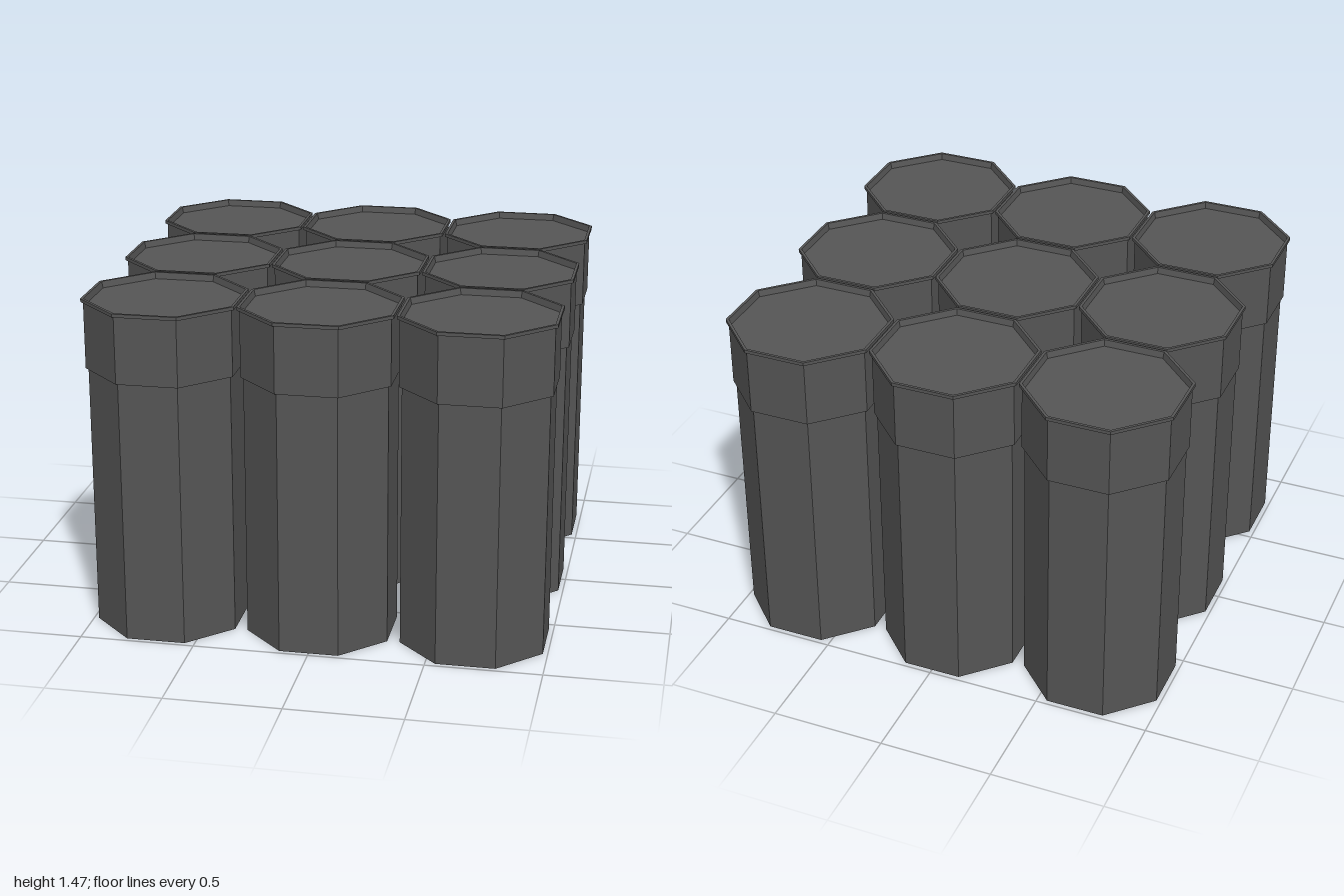
import * as THREE from 'three';

const SPACING = 0.671;
const TO_RADIUS = 1 / Math.cos(Math.PI / 8); // flat-to-centre distance -> corner radius

// Eight-sided shell from a profile of [flat distance, height], flats facing the axes
function octagonShell(name, profile, material) {
  const points = profile.map(([r, y]) => new THREE.Vector2(r * TO_RADIUS, y));
  const mesh = new THREE.Mesh(new THREE.LatheGeometry(points, 8, Math.PI / 8), material);
  mesh.name = name;
  return mesh;
}

export function createModel() {
  const model = new THREE.Group();
  model.name = 'tubeCluster';
  const material = new THREE.MeshStandardMaterial({
    color: 0x555555, flatShading: true, side: THREE.DoubleSide,
  });

  for (let row = -1; row <= 1; row++) {
    for (let col = -1; col <= 1; col++) {
      const tube = new THREE.Group();
      tube.name = 'tube';
      tube.add(
        // Long body, open underneath
        octagonShell('body', [[0.308, 0], [0.308, 1.158]], material),
        // Wider collar with a small step below it
        octagonShell('collar', [[0.308, 1.158], [0.319, 1.158], [0.319, 1.45]], material),
        // Thin projecting lip
        octagonShell('rim', [[0.319, 1.45], [0.329, 1.45], [0.329, 1.465], [0.317, 1.465], [0.311, 1.437]], material),
        // Recessed lid
        octagonShell('lid', [[0.311, 1.437], [0, 1.437]], material),
      );
      tube.position.set(col * SPACING, 0, row * SPACING);
      model.add(tube);
    }
  }
  return model;
}
